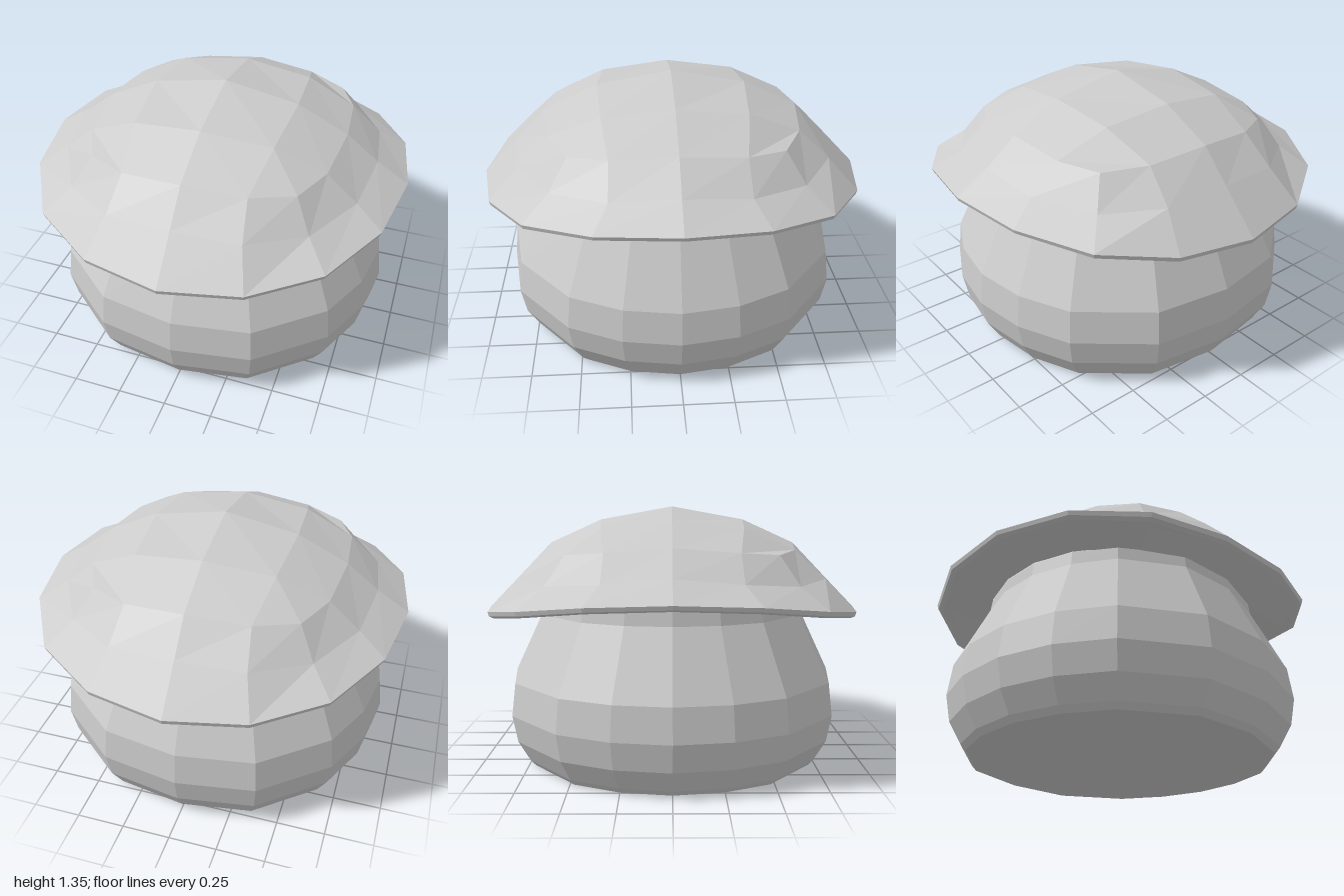
import * as THREE from 'three';

// Mirrors five quarter points [x, y, z] (from +z round to +x) into a 16-point loop.
function fullLoop(q) {
  const mirror = (p, sx, sz) => [p[0] * sx, p[1], p[2] * sz];
  const loop = [];
  for (let k = 0; k < 16; k++) {
    const quarter = Math.floor(k / 4), step = k % 4;
    const p = q[quarter % 2 ? 4 - step : step];
    loop.push(mirror(p, quarter < 2 ? 1 : -1, quarter === 0 || quarter === 3 ? 1 : -1));
  }
  return loop;
}

function addQuad(out, a, b, c, d) {
  out.push(...a, ...b, ...c, ...a, ...c, ...d);
}

// Joins loops listed from top to bottom, facing outwards.
function addBands(out, loops) {
  for (let r = 0; r + 1 < loops.length; r++) {
    const top = loops[r], low = loops[r + 1];
    for (let k = 0; k < 16; k++) {
      const n = (k + 1) % 16;
      addQuad(out, low[k], low[n], top[n], top[k]);
    }
  }
}

// Closes a loop with a fan facing down.
function addFloor(out, loop, y) {
  for (let k = 0; k < 16; k++) out.push(0, y, 0, ...loop[(k + 1) % 16], ...loop[k]);
}

function makeMesh(name, positions) {
  const geometry = new THREE.BufferGeometry();
  geometry.setAttribute('position', new THREE.Float32BufferAttribute(positions, 3));
  geometry.computeVertexNormals();
  const material = new THREE.MeshStandardMaterial({ color: 0xcccccc, flatShading: true });
  const mesh = new THREE.Mesh(geometry, material);
  mesh.name = name;
  return mesh;
}

// Squat bulging stem: one rounded outline scaled by height.
const stemOutline = [[0, 0.885], [0.4, 0.82], [0.73, 0.55], [0.855, 0.285], [0.9, 0]];
const stemProfile = [[0.9, 0.77], [0.86, 0.785], [0.79, 0.795], [0.45, 0.977],
  [0.28, 1], [0.14, 0.97], [0.03, 0.9], [0, 0.87]];

function createStem() {
  const out = [];
  const loops = stemProfile.map(([y, s]) => fullLoop(stemOutline.map(([x, z]) => [x * s, y, z * s])));
  addBands(out, loops);
  addFloor(out, loops[loops.length - 1], 0);
  return makeMesh('stem', out);
}

// Crown of the cap: one quarter of a 4 x 4 patch, indexed [x step][z step].
const crown = [
  [[0, 1.345, 0], [0, 1.275, 0.385], [0, 1.15, 0.66]],
  [[0.38, 1.275, 0], [0.355, 1.235, 0.36], [0.31, 1.125, 0.625]],
  [[0.64, 1.15, 0], [0.61, 1.125, 0.325], [0.515, 1.11, 0.52]],
];

// Lower cap: the rim rises at the sides and dips at front and back.
const brow = [[0, 0.995, 0.81], [0.335, 0.98, 0.78], [0.6, 0.965, 0.61], [0.765, 0.99, 0.33], [0.805, 1.02, 0]];
const rimOutline = [[0, 1], [0.39, 0.93], [0.71, 0.73], [0.905, 0.4], [0.97, 0]];

function rimLoop(scale, base, wave) {
  return fullLoop(rimOutline.map(([x, z], k) =>
    [x * scale, base - wave * Math.cos(k * Math.PI / 4), z * scale]));
}

function createCap() {
  const out = [];
  const point = (i, j) => {
    const [x, y, z] = crown[Math.abs(i)][Math.abs(j)];
    return [x * (Math.sign(i) || 1), y, z * (Math.sign(j) || 1)];
  };
  for (let i = -2; i < 2; i++) {
    for (let j = -2; j < 2; j++) {
      addQuad(out, point(i, j), point(i, j + 1), point(i + 1, j + 1), point(i + 1, j));
    }
  }
  const crownEdge = fullLoop([point(0, 2), point(1, 2), point(2, 2), point(2, 1), point(2, 0)]);
  // Rim, rolled lip and shallow underside
  const under = rimLoop(0.68, 0.86, 0.005);
  addBands(out, [crownEdge, fullLoop(brow), rimLoop(1, 0.86, 0.06),
    rimLoop(0.993, 0.838, 0.062), rimLoop(0.97, 0.828, 0.0625), rimLoop(0.93, 0.832, 0.058), under]);
  addFloor(out, under, 0.86);
  return makeMesh('cap', out);
}

export function createModel() {
  const model = new THREE.Group();
  model.name = 'mushroom';
  model.add(createStem(), createCap());
  return model;
}
